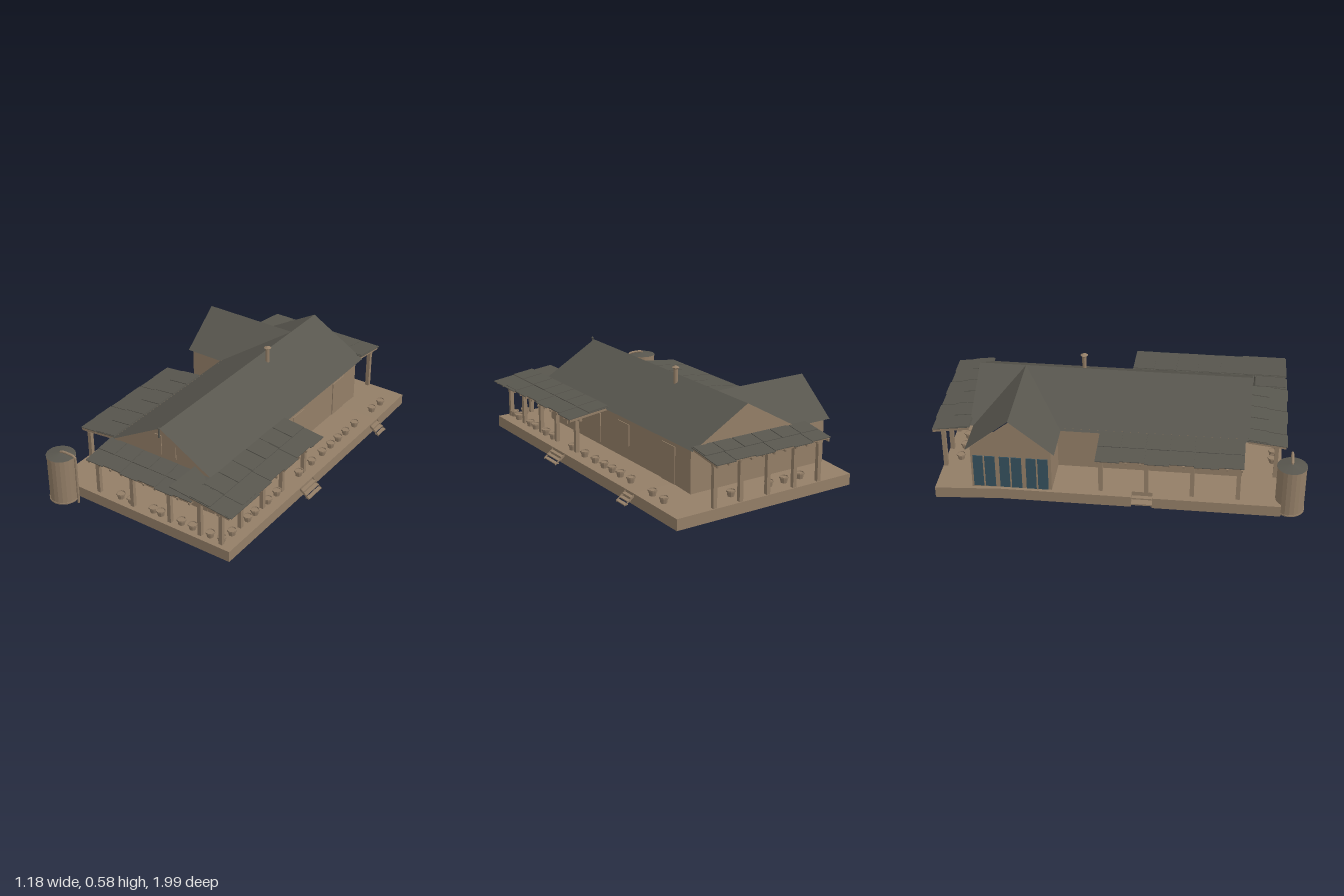
import * as THREE from 'three';

const make = (color) => new THREE.MeshStandardMaterial({ color, flatShading: true, side: THREE.DoubleSide });
const WOOD = make(0x937e67), ROOF = make(0x58564e), GLASS = make(0x35515e);

function add(parent, name, geo, mat, x = 0, y = 0, z = 0) {
  const m = new THREE.Mesh(geo, mat);
  m.name = name;
  m.position.set(x, y, z);
  parent.add(m);
  return m;
}

// Box given by its lower and upper bounds on each axis
function block(parent, name, mat, x0, x1, y0, y1, z0, z1) {
  return add(parent, name, new THREE.BoxGeometry(x1 - x0, y1 - y0, z1 - z0), mat,
    (x0 + x1) / 2, (y0 + y1) / 2, (z0 + z1) / 2);
}

// Flat faces from lists of corner points
function faces(parent, name, mat, polys) {
  const pos = [];
  for (const p of polys)
    for (let i = 1; i < p.length - 1; i++) pos.push(...p[0], ...p[i], ...p[i + 1]);
  const g = new THREE.BufferGeometry();
  g.setAttribute('position', new THREE.Float32BufferAttribute(pos, 3));
  g.computeVertexNormals();
  return add(parent, name, g, mat);
}

// The deck falls gently towards the back
const drop = (z) => (z < -0.6 ? ((-0.6 - z) / 0.355) * 0.02 : 0);

function buildDeck(root) {
  const g = new THREE.Group();
  g.name = 'deck';
  root.add(g);
  const top = (name, pts) => {
    const geo = new THREE.ShapeGeometry(new THREE.Shape(pts.map(([x, z]) => new THREE.Vector2(x, -z))));
    geo.rotateX(-Math.PI / 2);
    const p = geo.attributes.position;
    for (let i = 0; i < p.count; i++) p.setY(i, 0.082 - drop(p.getZ(i)));
    geo.computeVertexNormals();
    add(g, name, geo, WOOD);
  };
  const notch = [[-0.59, 0.09], [-0.54, 0.09], [-0.54, 0.2], [-0.59, 0.2]];
  top('deckFloor', [[-0.59, 0.87], [0.53, 0.87], [0.53, -0.6], [0.29, -0.6], [0.29, 0.66], [-0.345, 0.66],
    [-0.345, -0.33], [-0.57, -0.33], [-0.57, -0.6], [-0.59, -0.6], ...notch]);
  top('backDeckFloor', [[-0.59, -0.6], [-0.57, -0.6], [-0.57, -0.755], [0.29, -0.755], [0.29, -0.6],
    [0.53, -0.6], [0.51, -0.955], [-0.59, -0.955]]);
  const rim = [[-0.59, 0.87], [0.53, 0.87], [0.53, -0.6], [0.51, -0.955], [-0.59, -0.955], [-0.59, -0.6], ...notch];
  faces(g, 'deckSkirt', WOOD, rim.map(([x, z], i) => {
    const [u, w] = rim[(i + 1) % rim.length];
    return [[x, 0.02 - drop(z), z], [u, 0.02 - drop(w), w], [u, 0.082 - drop(w), w], [x, 0.082 - drop(z), z]];
  }));
  // Steps on the right, and a recessed pair on the left
  for (const [z0, z1] of [[-0.61, -0.53], [0.09, 0.215]]) {
    for (let i = 0; i < 3; i++)
      block(g, 'stepTread', WOOD, 0.53 + i * 0.018, 0.552 + i * 0.018, 0.062 - i * 0.016, 0.067 - i * 0.016, z0, z1);
    for (const z of [z0, z1])
      faces(g, 'stepStringer', WOOD, [[[0.53, 0.08, z], [0.588, 0.034, z], [0.588, 0.024, z], [0.53, 0.064, z]]]);
  }
  for (let i = 0; i < 2; i++)
    block(g, 'recessedStep', WOOD, -0.588 + i * 0.024, -0.54, 0.03 + i * 0.02, 0.038 + i * 0.02, 0.09, 0.2);
}

function buildHouse(root) {
  const g = new THREE.Group();
  g.name = 'house';
  root.add(g);
  const y0 = 0.06, y1 = 0.325, rx = -0.025, rz = -0.545, top = 0.492;
  // Walls follow the L-shaped plan
  const plan = [[-0.345, -0.33], [-0.345, 0.66], [0.29, 0.66], [0.29, -0.755], [-0.345, -0.755],
    [-0.57, -0.755], [-0.57, -0.33], [-0.345, -0.33]];
  faces(g, 'walls', WOOD, plan.slice(1).map(([x, z], i) => {
    const [u, w] = plan[i];
    return [[u, y0, w], [x, y0, z], [x, y1, z], [u, y1, w]];
  }));
  for (const z of [0.66, -0.755])
    faces(g, 'gableWall', WOOD, [[[-0.345, y1, z], [0.29, y1, z], [rx, top, z]]]);
  faces(g, 'wingGableWall', WOOD, [[[-0.57, y1, -0.755], [-0.57, y1, -0.33], [-0.57, top, rz]]]);

  // Main roof, with the side wing meeting it in two valleys
  const e = 0.316, r = 0.507, L = -0.36, R = 0.31, F = 0.69, B = -0.8;
  faces(g, 'mainRoof', ROOF, [
    [[R, e, F], [R, e, B], [rx, r, B], [rx, r, F]],
    [[L, e, -0.31], [L, e, F], [rx, r, F], [rx, r, rz]],
    [[L, e, B], [L, e, -0.78], [rx, r, rz], [rx, r, B]]]);
  faces(g, 'wingRoof', ROOF, [-0.31, -0.78].map((z) =>
    [[-0.588, e, z], [L, e, z], [rx, r, rz], [-0.588, r, rz]]));
  // Barge boards along the gable edges
  for (const z of [F, B])
    faces(g, 'bargeBoard', WOOD, [L, R].map((x) =>
      [[x, e, z], [rx, r, z], [rx, r - 0.02, z], [x + (x < 0 ? 0.035 : -0.035), e, z]]));

  // Doors, windows and gable vents as thin panels
  const panelZ = (n, x0, x1, a, b, z) => block(g, n, WOOD, x0, x1, a, b, z - 0.004, z + 0.004);
  const panelX = (n, z0, z1, a, b, x, m = WOOD) => block(g, n, m, x - 0.004, x + 0.004, a, b, z0, z1);
  for (const [a, b] of [[-0.315, -0.27], [-0.24, -0.16], [-0.11, -0.03], [0.025, 0.085], [0.155, 0.25]])
    panelZ('frontPanel', a, b, 0.085, 0.268, 0.661);
  for (const x of [-0.068, 0.024]) panelZ('gableVent', x - 0.03, x + 0.03, 0.33, 0.445, 0.661);
  for (const [a, b] of [[0.47, 0.61], [0.37, 0.45], [0.1, 0.26]]) panelX('sidePanel', a, b, 0.1, 0.265, 0.291);
  panelX('sideWindow', -0.19, -0.08, 0.16, 0.28, 0.291);
  panelX('sideDoor', -0.62, -0.5, 0.082, 0.285, 0.291);
  for (const x of [-0.25, 0.1]) panelZ('backWindow', x - 0.06, x + 0.06, 0.15, 0.27, -0.756);
  for (const z of [0.05, 0.3, 0.52]) panelX('leftWindow', z - 0.06, z + 0.06, 0.1, 0.265, -0.346);
  for (let i = 0; i < 3; i++) {
    const z = -0.685 + i * 0.14;
    panelX('glassDoor', z - 0.058, z + 0.058, 0.085, 0.275, -0.571, GLASS);
    panelX('doorMullion', z - 0.004, z + 0.004, 0.085, 0.275, -0.574);
  }

  // Chimney flue and ridge finial
  add(g, 'chimneyFlue', new THREE.CylinderGeometry(0.012, 0.012, 0.1, 10), WOOD, 0.021, 0.515, -0.23);
  add(g, 'chimneyCap', new THREE.ConeGeometry(0.021, 0.012, 10), WOOD, 0.021, 0.57, -0.23);
  add(g, 'chimneyCollar', new THREE.CylinderGeometry(0.018, 0.014, 0.008, 10), WOOD, 0.021, 0.56, -0.23);
  add(g, 'ridgeFinial', new THREE.CylinderGeometry(0.005, 0.005, 0.055, 8), ROOF, -0.021, 0.487, 0.7);
  add(g, 'finialKnob', new THREE.SphereGeometry(0.007, 8, 6), ROOF, -0.021, 0.514, 0.7);
}

// Lean-to roof: local x runs along the wall, local z points outwards
function veranda(root, name, x, z, turn, length, run, high, low, posts, postZ, postFoot) {
  const g = new THREE.Group();
  g.name = name;
  g.position.set(x, 0, z);
  g.rotation.y = turn;
  root.add(g);
  const tilt = Math.atan2(high - low, run), slope = Math.hypot(run, high - low);
  const lean = (n, mat, w, h, d, px, s, lift) => {
    const m = add(g, n, new THREE.BoxGeometry(w, h, d), mat, px, high - (high - low) * s + lift, run * s);
    m.rotation.x = tilt;
  };
  // Overlapping sheets, each lapped a little over the last
  const n = Math.round(length / 0.12), w = length / n;
  for (let i = 0; i < n; i++) {
    const px = -length / 2 + (i + 0.5) * w, odd = i % 2;
    lean('roofSheet', ROOF, w, 0.004, slope * (odd ? 0.97 : 1), px, odd ? 0.485 : 0.5, odd * 0.003);
    lean('roofLap', ROOF, w * 0.94, 0.004, slope * 0.5, px, 0.27, 0.006);
  }
  const k = Math.round(length / 0.075);
  for (let i = 0; i <= k; i++)
    lean('rafter', WOOD, 0.01, 0.014, slope * 0.94, -length / 2 + 0.012 + (i / k) * (length - 0.024), 0.5, -0.011);
  for (const s of [0.25, 0.6, 0.92]) lean('batten', WOOD, length - 0.01, 0.006, 0.01, 0, s, -0.005);
  const beamY = high - (high - low) * postZ / run - 0.027;
  add(g, 'beam', new THREE.BoxGeometry(length - 0.03, 0.018, 0.016), WOOD, 0, beamY, postZ);
  for (const p of posts)
    add(g, 'post', new THREE.BoxGeometry(0.022, beamY - postFoot, 0.022), WOOD, p, (beamY + postFoot) / 2, postZ);
}

function buildPots(root) {
  const spots = [];
  for (const z of [-0.77, -0.67, -0.47, -0.37, -0.29, -0.21, -0.12, -0.01, 0.12, 0.335, 0.42, 0.54, 0.605, 0.745])
    spots.push([0.46, z]);
  for (const x of [-0.195, -0.125, 0.02, 0.068, 0.2, 0.27, 0.38, 0.45]) spots.push([x, 0.82]);
  for (const x of [0.125, -0.116, -0.214, -0.32]) spots.push([x, -0.87]);
  const profile = [[0, 0], [0.017, 0], [0.022, 0.026], [0.026, 0.026], [0.026, 0.034], [0.021, 0.034], [0.02, 0.028], [0, 0.028]];
  const geo = new THREE.LatheGeometry(profile.map(([a, b]) => new THREE.Vector2(a, b)), 10);
  for (const [x, z] of spots) add(root, 'pot', geo, WOOD, x, 0.082 - drop(z), z);
}

function buildTank(root) {
  const g = new THREE.Group();
  g.name = 'waterTank';
  g.position.set(-0.51, 0, 0.915);
  root.add(g);
  add(g, 'tankBody', new THREE.CylinderGeometry(0.076, 0.076, 0.268, 20), WOOD, 0, 0.154, 0);
  for (const y of [0.024, 0.286])
    add(g, 'tankRim', new THREE.CylinderGeometry(0.079, 0.079, 0.008, 20), WOOD, 0, y, 0);
  add(g, 'tankLid', new THREE.ConeGeometry(0.079, 0.014, 20), ROOF, 0, 0.297, 0);
  const path = new THREE.CatmullRomCurve3([[0, 0.295], [0.004, 0.308], [0.02, 0.311], [0.085, 0.311], [0.098, 0.306],
    [0.1, 0.29], [0.1, 0.15], [0.1, 0.02]].map(([x, y]) => new THREE.Vector3(x, y, 0)), false, 'centripetal');
  add(g, 'tankPipe', new THREE.TubeGeometry(path, 32, 0.007, 8), WOOD);
}

export function createModel() {
  const root = new THREE.Group();
  root.name = 'verandaHouse';
  buildDeck(root);
  buildHouse(root);
  veranda(root, 'frontVeranda', -0.025, 0.68, 0, 0.67, 0.21, 0.322, 0.298, [-0.3, -0.075, 0.165], 0.155, 0.082);
  veranda(root, 'rightVeranda', 0.29, 0.445, Math.PI / 2, 0.87, 0.25, 0.326, 0.297, [-0.39, -0.225, -0.025, 0.155, 0.37], 0.17, 0.082);
  add(root, 'cornerPost', new THREE.BoxGeometry(0.022, 0.21, 0.022), WOOD, 0.33, 0.187, 0.835);
  block(root, 'cornerSheet', ROOF, 0.17, 0.55, -0.002, 0.002, 0.63, 0.875).rotation.z = -0.1;
  root.getObjectByName('cornerSheet').position.y = 0.316;
  veranda(root, 'leftVeranda', -0.35, 0.285, -Math.PI / 2, 0.77, 0.238, 0.32, 0.295, [-0.36, -0.12, 0.12, 0.36], 0.19, 0.082);
  veranda(root, 'backVeranda', -0.05, -0.79, Math.PI, 0.72, 0.21, 0.335, 0.306, [-0.33, -0.17, 0, 0.17, 0.33], 0.15, 0.06);
  buildPots(root);
  buildTank(root);
  return root;
}
